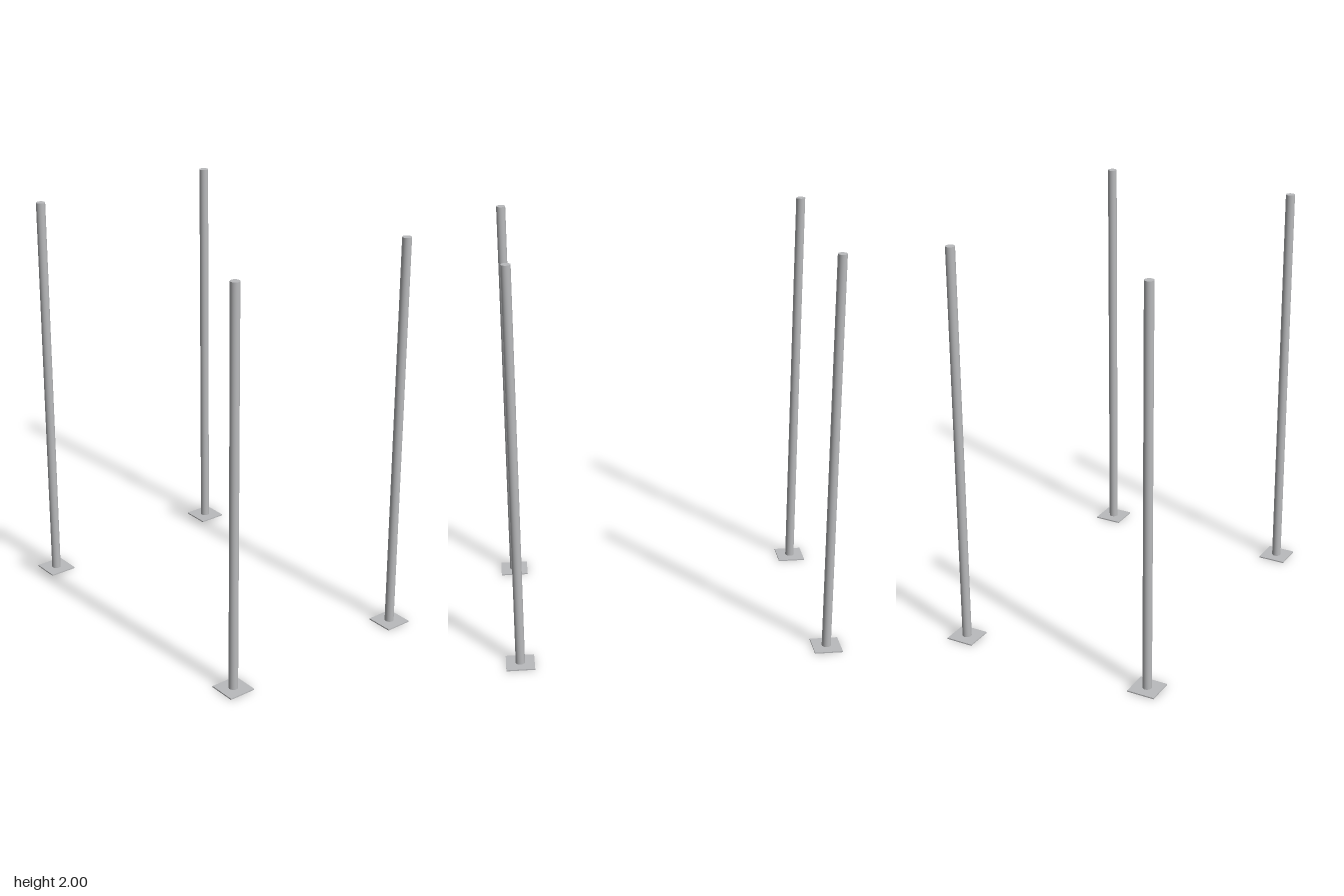
import * as THREE from 'three';

const HEIGHT = 2, POST_RADIUS = 0.0225, PLATE_SIZE = 0.138, PLATE_THICKNESS = 0.006;

export function createModel() {
  const model = new THREE.Group();
  model.name = 'fourPosts';

  const steel = new THREE.MeshStandardMaterial({ color: 0xb9babc });
  steel.name = 'steel grey';

  // Shared parts: a round post standing on a thin square foot plate
  const postGeometry = new THREE.CylinderGeometry(POST_RADIUS, POST_RADIUS, HEIGHT - PLATE_THICKNESS, 32);
  const plateGeometry = new THREE.BoxGeometry(PLATE_SIZE, PLATE_THICKNESS, PLATE_SIZE);

  // One post assembly at each corner
  for (const [sideX, xName] of [[1, 'Left'], [-1, 'Right']]) {
    for (const [sideZ, zName] of [[1, 'front'], [-1, 'back']]) {
      const corner = new THREE.Group();
      corner.name = `${zName}${xName}Post`;
      corner.position.set(sideX * 0.75, 0, sideZ * 0.5);

      const plate = new THREE.Mesh(plateGeometry, steel);
      plate.name = 'footPlate';
      plate.position.y = PLATE_THICKNESS / 2;

      const post = new THREE.Mesh(postGeometry, steel);
      post.name = 'post';
      post.position.y = (HEIGHT + PLATE_THICKNESS) / 2;

      corner.add(plate, post);
      model.add(corner);
    }
  }
  return model;
}
